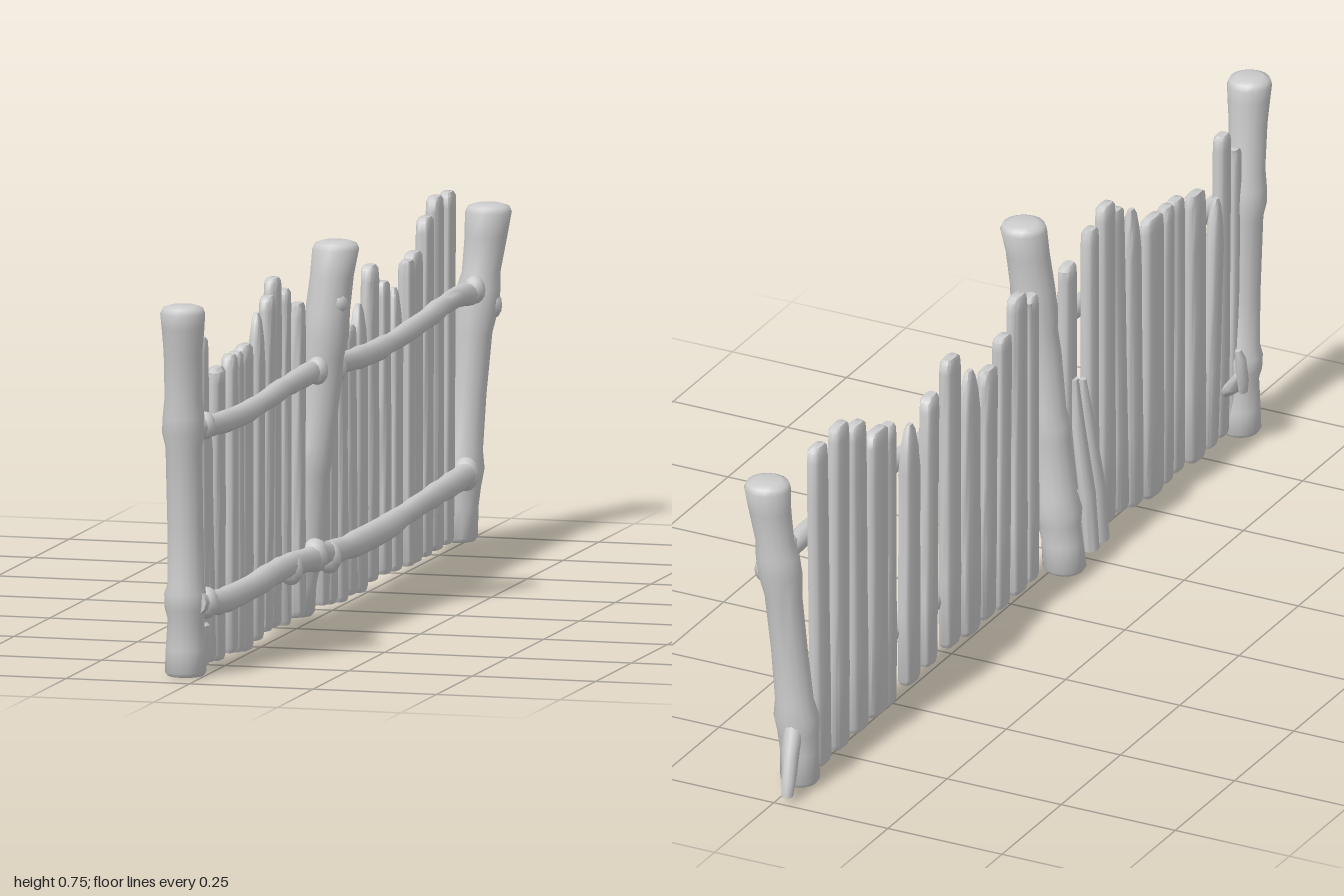
import * as THREE from 'three';
import { toCreasedNormals } from 'three/addons/utils/BufferGeometryUtils.js';

// Solid skin through elliptical rings [x, y, z, r1, r2]. Rings lie flat for uprights
// (listed bottom to top) or in the xy plane for rails (listed front to back).
function loft(rings, sides, isRail = false, square = 1) {
  const all = [[...rings[0].slice(0, 3), 0, 0], ...rings, [...rings.at(-1).slice(0, 3), 0, 0]];
  const pos = [], idx = [];
  const soft = v => Math.sign(v) * Math.pow(Math.abs(v), square);
  for (const [x, y, z, r1, r2] of all) {
    for (let j = 0; j < sides; j++) {
      const a = (j / sides) * Math.PI * 2;
      const u = soft(Math.cos(a)) * r1, v = soft(Math.sin(a)) * r2;
      if (isRail) pos.push(x + u, y + v, z);
      else pos.push(x + u, y, z + v);
    }
  }
  for (let i = 0; i < all.length - 1; i++) {
    for (let j = 0; j < sides; j++) {
      const a = i * sides + j, b = i * sides + (j + 1) % sides, c = a + sides, d = b + sides;
      if (i > 0) idx.push(a, c, b);
      if (i < all.length - 2) idx.push(b, c, d);
      if (i === 0) idx.push(a, c, d);
    }
  }
  // close the first cap fan and last cap fan cleanly
  const g = new THREE.BufferGeometry();
  g.setAttribute('position', new THREE.Float32BufferAttribute(pos, 3));
  g.setIndex(idx);
  return toCreasedNormals(g, 0.9);
}

export function createModel() {
  const model = new THREE.Group();
  model.name = 'woodenFence';
  const wood = new THREE.MeshStandardMaterial({ color: 0xcccccc });
  wood.name = 'paleWood';
  let seed = 7;
  const rand = () => (seed = (seed * 16807) % 2147483647) / 2147483647;
  const add = (name, geometry) => {
    const mesh = new THREE.Mesh(geometry, wood);
    mesh.name = name;
    model.add(mesh);
    return mesh;
  };

  // Posts: [x, y, z, radius] along the trunk, with rounded ends added
  const post = (name, pts) => {
    const first = pts[0], last = pts.at(-1);
    const rings = [
      [first[0], first[1] - 0.008, first[2], first[3] * 0.85],
      ...pts,
      [last[0], last[1] + 0.011, last[2], last[3] * 0.9],
      [last[0], last[1] + 0.016, last[2], last[3] * 0.6],
    ].map(([x, y, z, r]) => [x, y, z, r, r]);
    add(name, loft(rings, 16));
  };
  post('frontPost', [
    [-0.038, 0.015, 0.895, 0.041], [-0.038, 0.06, 0.896, 0.039], [-0.036, 0.12, 0.9, 0.036],
    [-0.036, 0.14, 0.902, 0.041], [-0.036, 0.17, 0.903, 0.042], [-0.035, 0.19, 0.905, 0.036],
    [-0.034, 0.3, 0.912, 0.035], [-0.034, 0.46, 0.922, 0.036], [-0.034, 0.49, 0.925, 0.042],
    [-0.033, 0.52, 0.928, 0.041], [-0.032, 0.56, 0.932, 0.037], [-0.029, 0.65, 0.945, 0.038],
    [-0.027, 0.7, 0.952, 0.042], [-0.027, 0.728, 0.955, 0.044]]);
  post('middlePost', [
    [-0.032, 0.028, 0.165, 0.043], [-0.027, 0.08, 0.165, 0.041], [-0.02, 0.12, 0.165, 0.043],
    [-0.016, 0.15, 0.165, 0.049], [-0.012, 0.18, 0.165, 0.043], [0, 0.3, 0.165, 0.041],
    [0.004, 0.33, 0.165, 0.044], [0.009, 0.36, 0.165, 0.04], [0.022, 0.48, 0.163, 0.043],
    [0.028, 0.53, 0.163, 0.041], [0.033, 0.57, 0.163, 0.046], [0.037, 0.62, 0.162, 0.044],
    [0.044, 0.69, 0.156, 0.043], [0.05, 0.742, 0.15, 0.046]]);
  post('backPost', [
    [-0.006, 0.022, -0.9, 0.039], [-0.004, 0.08, -0.9, 0.038], [-0.002, 0.12, -0.901, 0.041],
    [0, 0.155, -0.904, 0.045], [0.003, 0.19, -0.907, 0.038], [0.01, 0.3, -0.915, 0.036],
    [0.018, 0.42, -0.925, 0.037], [0.023, 0.47, -0.93, 0.044], [0.026, 0.51, -0.934, 0.043],
    [0.03, 0.54, -0.938, 0.038], [0.038, 0.61, -0.944, 0.042], [0.042, 0.656, -0.946, 0.046]]);

  // Rails: control points smoothed by a curve, with uneven girth
  const rail = (name, pts, radius) => {
    const curve = new THREE.CatmullRomCurve3(pts.map(p => new THREE.Vector3(...p)));
    const rings = [];
    for (let i = 0; i <= 28; i++) {
      const p = curve.getPoint(i / 28), r = radius * (0.92 + 0.2 * rand());
      rings.push([p.x, p.y, p.z, r * 0.85, r]);
    }
    add(name, loft(rings, 10, true));
  };
  rail('upperFrontRail', [[-0.01, 0.5, 0.93], [0.005, 0.495, 0.85], [0.012, 0.49, 0.65],
    [0.02, 0.505, 0.4], [0.024, 0.51, 0.2], [0.026, 0.51, 0.13]], 0.021);
  rail('upperBackRail', [[0.03, 0.52, 0.18], [0.03, 0.505, 0.08], [0.03, 0.49, -0.2],
    [0.028, 0.497, -0.5], [0.024, 0.51, -0.8], [0.024, 0.49, -0.95]], 0.021);
  rail('lowerFrontRail', [[-0.01, 0.155, 0.92], [0.006, 0.145, 0.85], [0.01, 0.14, 0.65],
    [0.018, 0.15, 0.4], [0.02, 0.14, 0.2], [0.02, 0.14, 0.13]], 0.024);
  rail('lowerBackRail', [[0.022, 0.15, 0.2], [0.026, 0.135, 0.08], [0.028, 0.13, -0.25],
    [0.026, 0.14, -0.5], [0.022, 0.148, -0.8], [0.018, 0.15, -0.92]], 0.024);

  // Knots where rails meet posts, and on the rails
  const knots = [
    [0.0, 0.5, 0.895, 0.028], [0.0, 0.15, 0.885, 0.032], [0.02, 0.14, 0.36, 0.031],
    [0.022, 0.145, 0.2, 0.034], [0.028, 0.13, 0.12, 0.032], [0.04, 0.505, 0.13, 0.034],
    [0.03, 0.51, 0.21, 0.028], [0.05, 0.475, -0.935, 0.029], [0.03, 0.51, -0.89, 0.028],
    [0.018, 0.15, -0.87, 0.034], [0.062, 0.64, 0.175, 0.025]];
  for (const [x, y, z, r] of knots) {
    const knot = add('knot', new THREE.SphereGeometry(r, 10, 8));
    knot.scale.set(0.8, 1, 0.85);
    knot.position.set(x, y, z);
  }

  // Planks: [z, width, top, bottom, lean along z, pointed]
  const planks = [
    [0.878, 0.036, 0.62, 0.02, 0.01], [0.842, 0.046, 0.665, 0.02, 0.01], [0.8, 0.05, 0.54, 0.02, 0.03, 1],
    [0.728, 0.068, 0.59, 0.015, 0], [0.66, 0.05, 0.605, 0.02, 0], [0.617, 0.046, 0.605, 0.015, 0.005],
    [0.56, 0.078, 0.61, 0.01, 0], [0.482, 0.058, 0.66, 0.02, -0.01, 1], [0.425, 0.052, 0.685, 0.03, -0.02],
    [0.373, 0.06, 0.715, 0.03, 0], [0.318, 0.046, 0.685, 0.025, 0], [0.228, 0.052, 0.645, 0.03, 0],
    [0.078, 0.05, 0.64, 0.03, 0], [0.025, 0.062, 0.665, 0.025, 0], [-0.034, 0.056, 0.6, 0.02, 0.01],
    [-0.096, 0.062, 0.555, 0.025, 0.01], [-0.17, 0.072, 0.585, 0.02, 0, 1], [-0.252, 0.066, 0.65, 0.03, 0],
    [-0.345, 0.056, 0.605, 0.03, 0.01], [-0.428, 0.066, 0.58, 0.025, 0, 1], [-0.525, 0.05, 0.62, 0.02, 0],
    [-0.572, 0.08, 0.63, 0.02, 0], [-0.66, 0.066, 0.685, 0.02, -0.01], [-0.74, 0.064, 0.715, 0.02, 0],
    [-0.828, 0.062, 0.71, 0.02, -0.015]];
  const plankRings = (x, z, width, top, bottom, lean, pointed, depth = 0.014) => {
    const tip = pointed
      ? [[top - 0.1, 0.95], [top - 0.05, 0.75], [top - 0.015, 0.5], [top, 0.25]]
      : [[top - 0.12, 0.96], [top - 0.03, 0.93], [top - 0.008, 0.85], [top, 0.6]];
    const levels = [[bottom, 0.75], [bottom + 0.01, 0.95], [0.18, 1], [0.32, 0.94], ...tip];
    return levels.map(([y, s], i) => {
      const t = (y - bottom) / (top - bottom) - 0.5;
      const wobble = i > 1 ? (rand() - 0.5) * 0.006 : 0;
      return [x + wobble * 0.5, y, z + lean * t + wobble, depth * Math.min(1, s + 0.1), width * 0.5 * s];
    });
  };
  for (const [z, width, top, bottom, lean, pointed] of planks) {
    const x = z > 0 ? -0.03 * z + (rand() - 0.5) * 0.006 : 0.004 - 0.02 * z * z;
    add('plank', loft(plankRings(x, z, width, top, bottom, lean, pointed), 12, false, 0.6));
  }

  // Loose slats propped beside the middle post
  add('looseSlat', loft([[-0.05, 0.035, 0.288, 0.013, 0.02], [-0.045, 0.15, 0.278, 0.015, 0.022],
    [-0.03, 0.3, 0.265, 0.012, 0.016], [-0.025, 0.39, 0.255, 0.007, 0.007]], 10));
  add('looseSlat', loft([[-0.048, 0.03, 0.25, 0.013, 0.02], [-0.04, 0.15, 0.245, 0.015, 0.022],
    [-0.025, 0.3, 0.235, 0.012, 0.018], [-0.02, 0.4, 0.23, 0.007, 0.01]], 10));

  // Root branch at the foot of the back post, and a twig near the front post
  add('branch', loft([[-0.022, 0.02, -0.985, 0.011, 0.012], [-0.02, 0.05, -0.975, 0.014, 0.017],
    [-0.012, 0.1, -0.95, 0.016, 0.02], [-0.004, 0.16, -0.918, 0.02, 0.024]], 10));
  add('twig', loft([[-0.086, 0.135, 0.815, 0.008, 0.012], [-0.087, 0.16, 0.812, 0.01, 0.016],
    [-0.085, 0.21, 0.805, 0.01, 0.014], [-0.082, 0.23, 0.8, 0.006, 0.008]], 8));
  add('twigStem', loft([[-0.02, 0.1, 0.85, 0.018, 0.018], [-0.055, 0.13, 0.83, 0.02, 0.018],
    [-0.08, 0.17, 0.815, 0.013, 0.014]], 8));

  return model;
}
